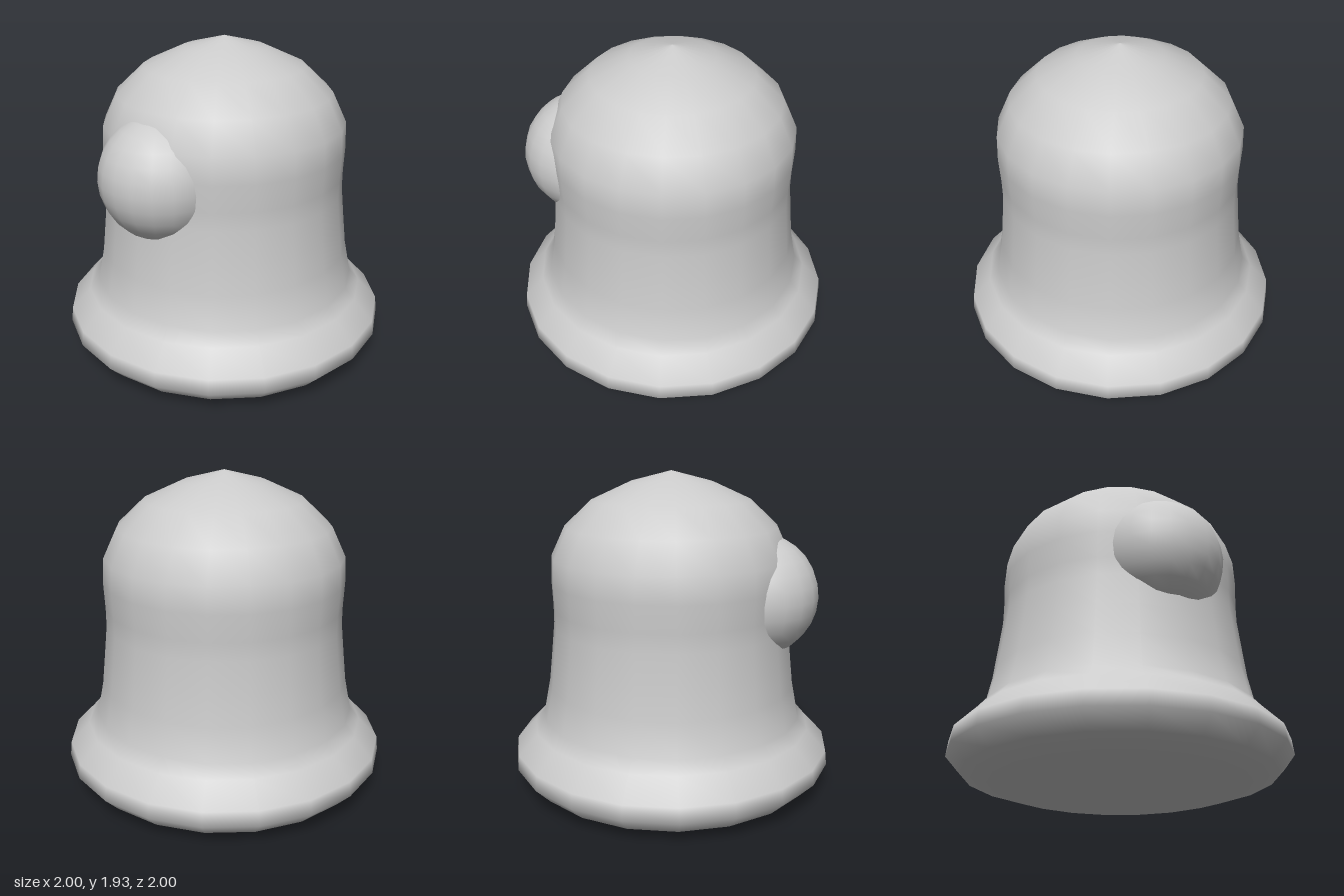
import * as THREE from 'three';

const SIDES = 20;

export function createModel() {
  const group = new THREE.Group();
  const material = new THREE.MeshStandardMaterial({ color: 0xcccccc });

  function add(name, geometry) {
    const mesh = new THREE.Mesh(geometry, material);
    mesh.name = name;
    group.add(mesh);
    return mesh;
  }

  // Bell-shaped body: flat base, rounded flange, slightly waisted wall, domed top
  const profile = [
    [0, 0], [0.71, 0], [0.91, 0.06], [1, 0.155], [0.99, 0.245],
    [0.87, 0.37], [0.81, 0.44], [0.77, 0.64], [0.75, 0.82], [0.73, 1.01],
    [0.73, 1.12], [0.737, 1.28], [0.73, 1.43], [0.645, 1.61],
    [0.48, 1.765], [0.25, 1.87], [0, 1.935],
  ].map(([r, y]) => new THREE.Vector2(r, y));
  add('body', new THREE.LatheGeometry(profile, SIDES));

  // Ball set into the upper front of the body
  const ball = add('frontBall', new THREE.SphereGeometry(0.37, SIDES, 14));
  ball.position.set(0, 1.21, 0.53);

  return group;
}
